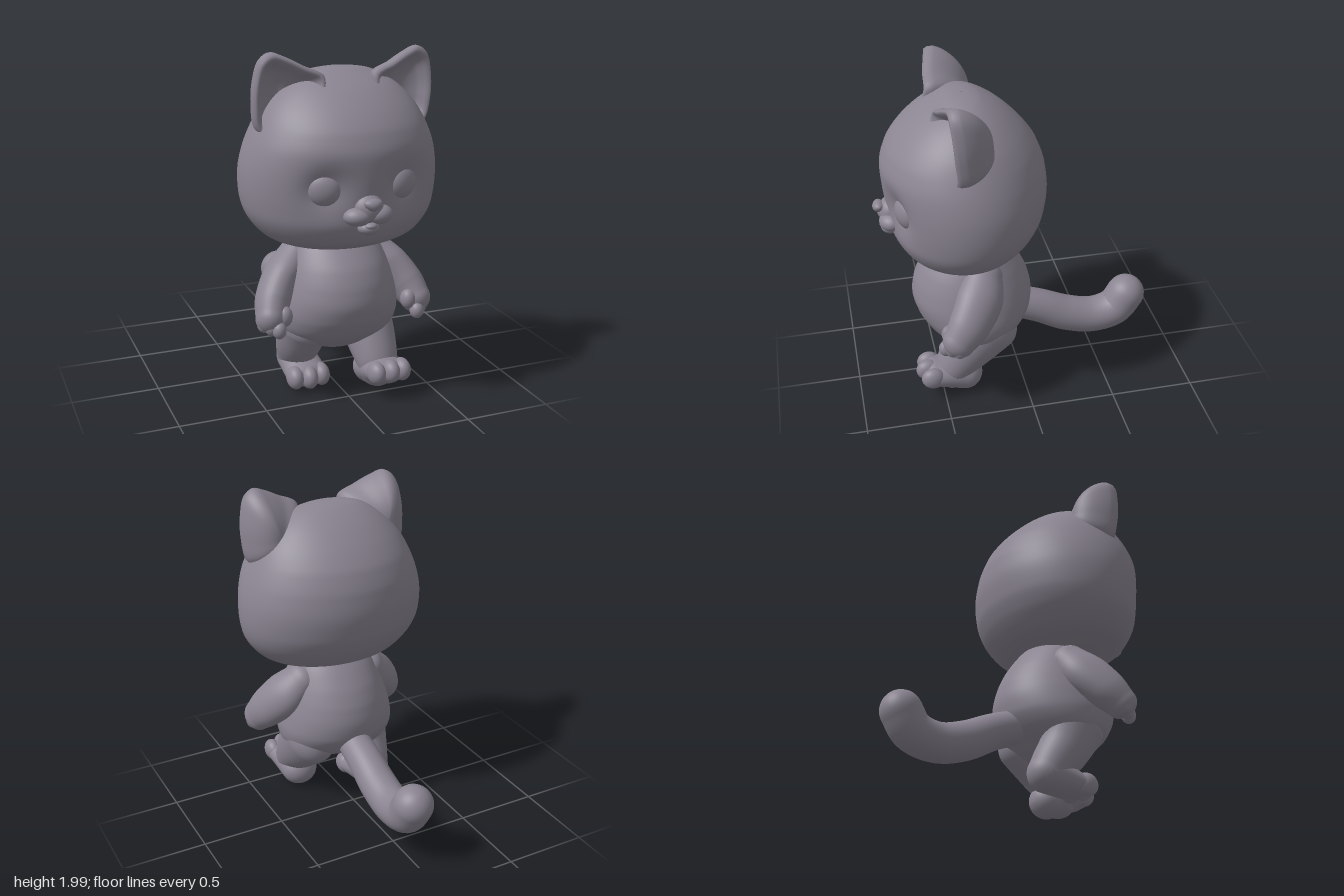
import * as THREE from 'three';

const fur = new THREE.MeshStandardMaterial({ color: 0x8b8592 });
fur.name = 'mauve grey';
const V = (x, y, z) => new THREE.Vector3(x, y, z);

// Smooth closed skin over a list of rings with equal point counts
function skin(rings) {
  const n = rings[0].length, pos = [], idx = [];
  rings.forEach(r => r.forEach(p => pos.push(p.x, p.y, p.z)));
  for (let i = 0; i < rings.length - 1; i++) {
    for (let j = 0; j < n; j++) {
      const k = (j + 1) % n, a = i * n + j, b = i * n + k, c = b + n, d = a + n;
      idx.push(a, b, c, a, c, d);
    }
  }
  const g = new THREE.BufferGeometry();
  g.setAttribute('position', new THREE.Float32BufferAttribute(pos, 3));
  g.setIndex(idx);
  g.computeVertexNormals();
  return g;
}

// Upright rounded volume from rows of [y, half width, back z, front z]
function stack(rows, steps = 56, n = 72) {
  const centre = new THREE.CatmullRomCurve3(rows.map(r => V(r[0], r[1], 0)));
  const depth = new THREE.CatmullRomCurve3(rows.map(r => V(r[2], r[3], 0)));
  const rings = [];
  for (let i = 0; i <= steps; i++) {
    const a = centre.getPoint(i / steps), d = depth.getPoint(i / steps);
    rings.push(Array.from({ length: n }, (_, j) => {
      const t = j / n * Math.PI * 2;
      return V(a.y * Math.sin(t), a.x, (d.x + d.y) / 2 + (d.y - d.x) / 2 * Math.cos(t));
    }));
  }
  return skin(rings);
}

// Round-ended limb through points of [x, y, z, sideways radius, other radius]
function limb(points, steps = 24, n = 32) {
  const path = new THREE.CatmullRomCurve3(points.map(p => V(p[0], p[1], p[2])));
  const radii = new THREE.CatmullRomCurve3(points.map(p => V(p[3], p[4] ?? p[3], 0)));
  const rings = [];
  const ring = (t, push, shrink) => {
    const c = path.getPoint(t), tan = path.getTangent(t), r = radii.getPoint(t);
    const u = V(1, 0, 0).addScaledVector(tan, -tan.x).normalize();
    const v = tan.clone().cross(u);
    c.addScaledVector(tan, push * Math.min(r.x, r.y));
    rings.push(Array.from({ length: n }, (_, j) => {
      const a = j / n * Math.PI * 2;
      return c.clone().addScaledVector(u, Math.cos(a) * r.x * shrink)
        .addScaledVector(v, Math.sin(a) * r.y * shrink);
    }));
  };
  const caps = 9, q = Math.PI / 2;
  for (let i = 0; i < caps; i++) ring(0, -Math.cos(i / caps * q), Math.max(0.001, Math.sin(i / caps * q)));
  for (let i = 0; i <= steps; i++) ring(i / steps, 0, 1);
  for (let i = 1; i <= caps; i++) ring(1, Math.sin(i / caps * q), Math.max(0.001, Math.cos(i / caps * q)));
  return skin(rings);
}

const ball = (rx, ry, rz) => new THREE.SphereGeometry(1, 32, 24).scale(rx, ry, rz);

// Mirror a geometry across x, keeping faces outward
function mirrored(geo) {
  const g = geo.clone().scale(-1, 1, 1);
  const a = g.index.array;
  for (let i = 0; i < a.length; i += 3) [a[i], a[i + 1]] = [a[i + 1], a[i]];
  g.computeVertexNormals();
  return g;
}

function add(parent, name, geo, x = 0, y = 0, z = 0) {
  const m = new THREE.Mesh(geo, fur);
  m.name = name;
  m.position.set(x, y, z);
  parent.add(m);
  return m;
}

function addPair(parent, name, geo) {
  add(parent, name + 'Left', geo);
  add(parent, name + 'Right', mirrored(geo));
}

function headGeometry() {
  const g = stack([
    [0.91, 0.005, 0.30, 0.31], [0.912, 0.22, 0.17, 0.49], [0.95, 0.36, 0.07, 0.61],
    [1.0, 0.45, -0.02, 0.685], [1.1, 0.53, -0.10, 0.735], [1.2, 0.56, -0.145, 0.75],
    [1.35, 0.563, -0.165, 0.768], [1.48, 0.535, -0.15, 0.775], [1.6, 0.485, -0.105, 0.74],
    [1.7, 0.425, -0.03, 0.665], [1.8, 0.325, 0.075, 0.55], [1.87, 0.2, 0.185, 0.42],
    [1.892, 0.09, 0.25, 0.36], [1.896, 0.003, 0.30, 0.305]], 80, 96);
  // Eye sockets
  const p = g.attributes.position;
  for (let i = 0; i < p.count; i++) {
    if (p.getZ(i) < 0.35) continue;
    const dx = Math.abs(p.getX(i)) - 0.222, dy = p.getY(i) - 1.31;
    p.setZ(i, p.getZ(i) - 0.05 * Math.exp(-(dx * dx + dy * dy) / 0.013));
  }
  g.computeVertexNormals();
  return g;
}

// Cupped ear: bulging back, rolled rim, hollow front
function earGeometry() {
  const outline = new THREE.CatmullRomCurve3([
    [0.2, 1.68, 0.5], [0.35, 1.56, 0.47], [0.49, 1.58, 0.39], [0.518, 1.72, 0.40],
    [0.51, 1.86, 0.41], [0.48, 1.96, 0.42], [0.425, 1.998, 0.425], [0.35, 1.975, 0.44],
    [0.25, 1.925, 0.46], [0.14, 1.865, 0.47]].map(p => V(...p)), true);
  const rim = outline.getPoints(56).slice(0, 56), mid = V(0.345, 1.74, 0.44), rings = [];
  const ring = (s, z) => rings.push(rim.map(p => {
    const q = mid.clone().lerp(p, s);
    q.z += z;
    return q;
  }));
  for (let i = 0; i <= 12; i++) {
    const s = Math.max(0.002, Math.sin(i / 12 * Math.PI / 2));
    ring(s, -0.03 - 0.21 * Math.pow(1 - s * s, 0.7));
  }
  ring(0.995, 0);
  ring(0.95, 0.02);
  ring(0.87, 0.018);
  ring(0.8, -0.005);
  for (let i = 1; i <= 8; i++) {
    const s = Math.max(0.002, 0.78 * (1 - i / 8));
    ring(s, -0.03 - 0.08 * (1 - (s / 0.78) ** 2));
  }
  return skin(rings);
}

// Foot with three toes, heel at the local origin
function addFoot(parent, name, x, y, z, pitch, yaw) {
  const foot = new THREE.Group();
  foot.name = name;
  foot.position.set(x, y, z);
  foot.rotation.set(pitch, yaw, 0);
  add(foot, name + 'Sole', limb([[0, 0.105, 0, 0.115, 0.105], [0, 0.092, 0.1, 0.12, 0.092], [0, 0.078, 0.19, 0.125, 0.074]]));
  for (const i of [-1, 0, 1]) {
    add(foot, name + 'Toe', ball(0.05, 0.067, 0.072), i * 0.08, 0.078, 0.235 - Math.abs(i) * 0.02);
  }
  parent.add(foot);
}

export function createModel() {
  const cat = new THREE.Group();
  cat.name = 'kitten';

  // Head, ears and eyes
  add(cat, 'head', headGeometry());
  addPair(cat, 'ear', earGeometry());
  addPair(cat, 'eye', ball(0.097, 0.095, 0.06).rotateY(0.4).translate(0.224, 1.308, 0.658));

  // Muzzle, nose and mouth
  add(cat, 'muzzleBridge', ball(0.085, 0.085, 0.07), 0, 1.2, 0.73);
  addPair(cat, 'muzzleCheek', ball(0.078, 0.053, 0.068).rotateY(0.3).translate(0.062, 1.165, 0.735));
  add(cat, 'lowerLip', ball(0.06, 0.04, 0.055), 0, 1.098, 0.738);
  add(cat, 'tongue', ball(0.036, 0.02, 0.035), 0, 1.115, 0.765);
  const nose = ball(0.062, 0.034, 0.035);
  const p = nose.attributes.position;
  for (let i = 0; i < p.count; i++) p.setX(i, p.getX(i) * (0.75 + 9 * p.getY(i)));
  nose.computeVertexNormals();
  add(cat, 'nose', nose, 0, 1.235, 0.797);

  // Body
  add(cat, 'body', stack([
    [0.26, 0.005, 0.27, 0.28], [0.275, 0.12, 0.17, 0.38], [0.34, 0.27, 0.06, 0.48],
    [0.41, 0.345, -0.02, 0.555], [0.5, 0.365, -0.075, 0.61], [0.6, 0.352, -0.085, 0.635],
    [0.7, 0.325, -0.065, 0.622], [0.8, 0.29, -0.02, 0.58], [0.9, 0.245, 0.05, 0.5],
    [0.98, 0.19, 0.12, 0.42]]));

  // Arms with paws
  addPair(cat, 'arm', limb([
    [0.23, 0.83, 0.235, 0.09, 0.11], [0.33, 0.72, 0.285, 0.105, 0.14],
    [0.41, 0.61, 0.365, 0.1, 0.125], [0.445, 0.535, 0.43, 0.085, 0.1]]));
  addPair(cat, 'thumb', ball(0.045, 0.06, 0.05).translate(0.378, 0.55, 0.47));
  for (const i of [0, 1, 2]) {
    addPair(cat, 'finger', ball(0.04, 0.05, 0.045).translate(0.42 + i * 0.032, 0.485 + i * 0.01, 0.5 - i * 0.035));
  }

  // Striding legs: left forward with toes up, right behind
  add(cat, 'legLeft', limb([
    [0.19, 0.44, 0.22, 0.16, 0.2], [0.2, 0.3, 0.34, 0.145, 0.16],
    [0.205, 0.19, 0.42, 0.125, 0.12], [0.205, 0.13, 0.44, 0.11, 0.105]]));
  addFoot(cat, 'footLeft', 0.205, 0.018, 0.4, -0.36, 0.05);
  add(cat, 'legRight', limb([
    [-0.19, 0.43, 0.27, 0.16, 0.19], [-0.195, 0.3, 0.21, 0.14, 0.15],
    [-0.185, 0.2, 0.14, 0.125, 0.125], [-0.18, 0.14, 0.1, 0.115, 0.11]]));
  addFoot(cat, 'footRight', -0.18, 0.03, 0.09, 0.08, 0);

  // Tail curling up at the tip
  add(cat, 'tail', limb([
    [0, 0.45, 0.02, 0.1], [0, 0.385, -0.15, 0.105], [0, 0.3, -0.33, 0.112],
    [0, 0.262, -0.5, 0.113], [0, 0.3, -0.645, 0.117], [0, 0.397, -0.715, 0.118]], 40));

  return cat;
}
